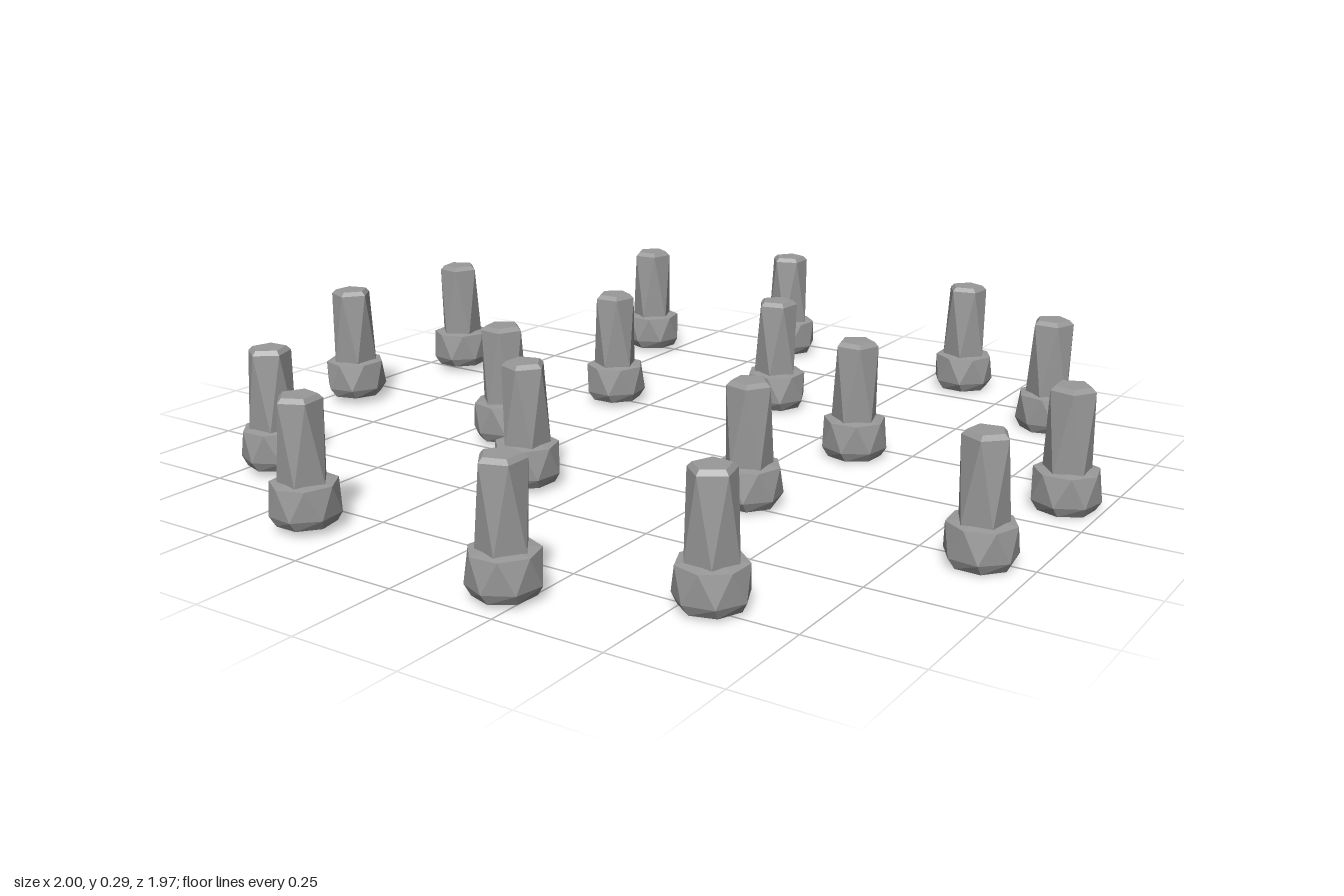
import * as THREE from 'three';

// Faceted solid from rings [radius, y, twist in side steps], listed from the bottom axis to the top
function facetedRings(sides, rings) {
  const pos = [];
  const point = ([r, y, t], i) => {
    const a = ((i + t) / sides) * Math.PI * 2;
    return [r * Math.cos(a), y, r * Math.sin(a)];
  };
  for (let k = 0; k < rings.length - 1; k++) {
    const lo = rings[k], hi = rings[k + 1];
    for (let i = 0; i < sides; i++) {
      const a0 = point(lo, i), a1 = point(lo, i + 1);
      const b0 = point(hi, i), b1 = point(hi, i + 1);
      if (lo[0] > 0) pos.push(...a0, ...b0, ...a1);
      if (hi[0] > 0) pos.push(...a1, ...b0, ...b1);
    }
  }
  const g = new THREE.BufferGeometry();
  g.setAttribute('position', new THREE.Float32BufferAttribute(pos, 3));
  g.computeVertexNormals(); // unshared corners give flat facets
  return g;
}

export function createModel() {
  const group = new THREE.Group();
  group.name = 'boltSet';
  const steel = new THREE.MeshStandardMaterial({ color: 0x999999 });
  steel.name = 'steel grey';

  // Head with a socket in its underside
  const headGeo = facetedRings(7, [
    [0, 0.045, 0], [0.036, 0.045, 0], [0.038, 0, 0], [0.064, 0, 0],
    [0.077, 0.022, 0.1], [0.073, 0.088, 0.6], [0.04, 0.092, 0.6],
  ]);
  // Slightly tapered shank with twisted facets and a chamfered end
  const shankGeo = facetedRings(5, [
    [0.055, 0.088, 0], [0.05, 0.266, 0.5], [0.04, 0.276, 0.5], [0, 0.276, 0.5],
  ]);

  // Outer ring of twelve, inner ring of six: [x, z]
  const places = [
    [-0.21, -0.91], [0.36, -0.86], [-0.57, -0.74], [0.68, -0.64], [-0.90, -0.27], [0.92, -0.12],
    [-0.93, 0.12], [0.89, 0.27], [-0.68, 0.64], [0.56, 0.74], [-0.36, 0.86], [0.21, 0.91],
    [0.03, -0.42], [-0.35, -0.24], [0.38, -0.18], [-0.38, 0.18], [0.34, 0.24], [-0.14, 0.40],
  ];
  places.forEach(([x, z], i) => {
    const bolt = new THREE.Group();
    bolt.name = 'bolt' + (i + 1);
    const head = new THREE.Mesh(headGeo, steel);
    head.name = 'head';
    const shank = new THREE.Mesh(shankGeo, steel);
    shank.name = 'shank';
    bolt.add(head, shank);
    // The rings lie in a very slightly tilted plane
    bolt.position.set(x, 0.018 - 0.009 * x + 0.004 * z, z);
    bolt.rotation.y = i * 2.4;
    group.add(bolt);
  });
  return group;
}
